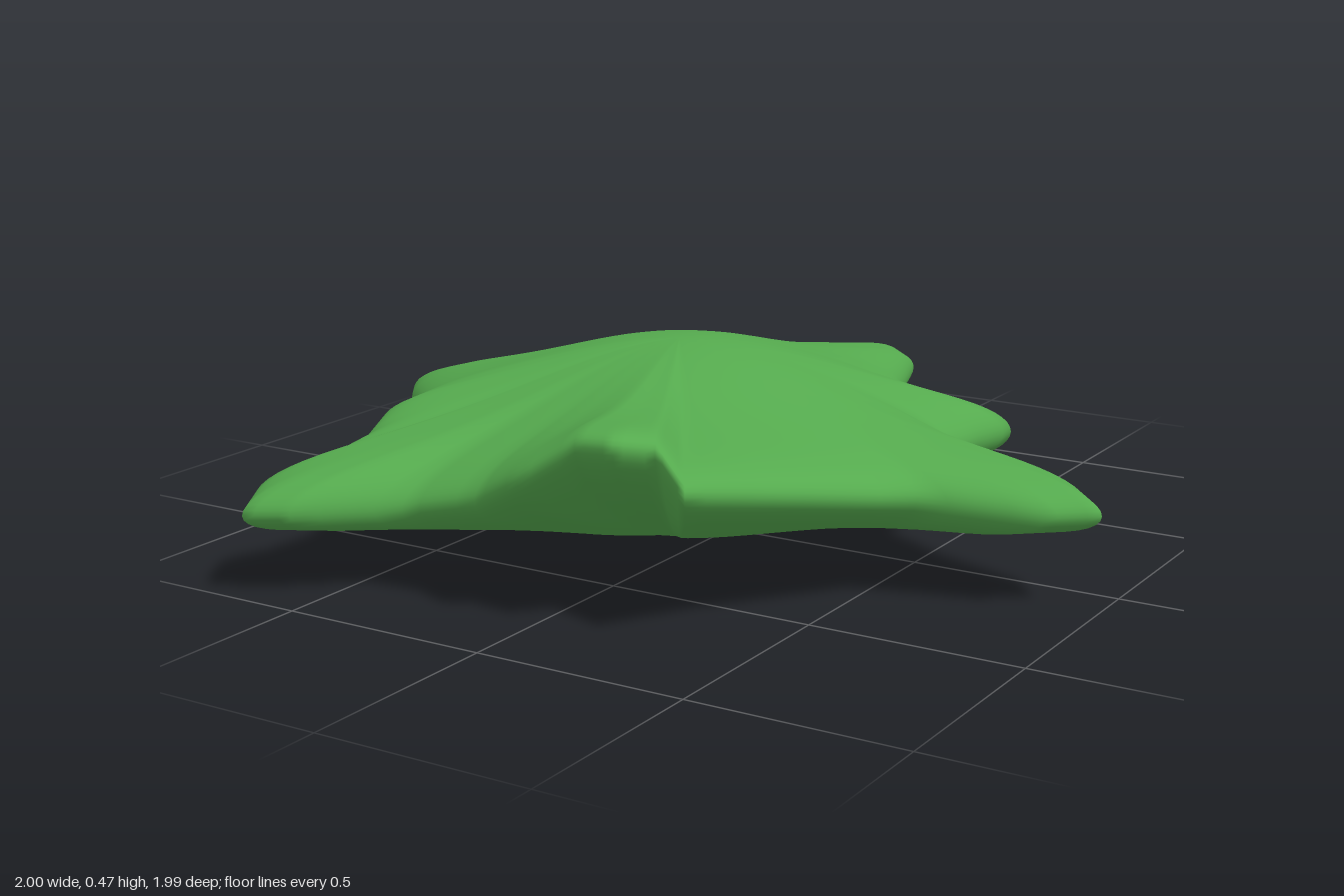
import * as THREE from 'three';
import { mergeVertices } from 'three/addons/utils/BufferGeometryUtils.js';

// Rim of the star as [x, z, height], clockwise from the back arm
const RIM = [
  [-0.05, -1, 0.22], [0.03, -0.92, 0.22], [0.11, -0.69, 0.22], [0.22, -0.49, 0.22],
  [0.4, -0.45, 0.22], [0.54, -0.43, 0.22], [0.51, -0.31, 0.22], [0.495, -0.15, 0.22],
  [0.7, -0.04, 0.22], [0.93, 0.04, 0.22], [1, 0.12, 0.22], [0.9, 0.2, 0.22],
  [0.64, 0.28, 0.24], [0.46, 0.6, 0.3], [0.38, 0.8, 0.34], [0.29, 0.77, 0.41],
  [0.24, 0.85, 0.43], [0.14, 0.84, 0.42], [0, 0.85, 0.33], [-0.15, 0.8, 0.25],
  [-0.35, 0.8, 0.2], [-0.53, 0.96, 0.2], [-0.64, 0.99, 0.19], [-0.7, 0.88, 0.2],
  [-0.66, 0.79, 0.21], [-0.62, 0.62, 0.25], [-0.66, 0.49, 0.28], [-0.66, 0.38, 0.28],
  [-0.74, 0.26, 0.25], [-0.79, 0.19, 0.23], [-0.95, 0.02, 0.21], [-1, -0.05, 0.21],
  [-0.98, -0.13, 0.21], [-0.8, -0.22, 0.22], [-0.63, -0.31, 0.22], [-0.57, -0.44, 0.22],
  [-0.52, -0.57, 0.22], [-0.42, -0.56, 0.22], [-0.31, -0.57, 0.22], [-0.21, -0.77, 0.22],
  [-0.13, -0.94, 0.22],
];
const CX = -0.12, CZ = 0.03, CY = 0.233;

// Half thickness: a central dome fading into slimmer arms, rounded at the rim
function halfThickness(r, t) {
  const dome = 0.38 + 0.62 * Math.exp(-((r / 0.47) ** 2));
  return 0.233 * dome * Math.sqrt(Math.max(0, 1 - t ** 5));
}

function starGeometry(sub = 4, half = 20) {
  // Subdivide the rim
  const rim = [];
  RIM.forEach((p, i) => {
    const q = RIM[(i + 1) % RIM.length];
    for (let s = 0; s < sub; s++) rim.push(p.map((v, k) => v + (q[k] - v) * s / sub));
  });

  // Rings from the top centre, over the rim, to the bottom centre
  const n = rim.length, pos = [], idx = [];
  for (let k = 0; k <= 2 * half; k++) {
    const pole = k === 0 || k === 2 * half;
    const t = pole ? 0 : k === half ? 1 : Math.sin(Math.PI * k / (2 * half));
    const side = k <= half ? 1 : -1;
    for (const [x, z, y] of rim) {
      const r = t * Math.hypot(x - CX, z - CZ);
      const mid = CY + (y - CY) * t * t;
      pos.push(CX + (x - CX) * t, mid + side * halfThickness(r, t), CZ + (z - CZ) * t);
    }
  }
  for (let k = 0; k < 2 * half; k++) {
    for (let j = 0; j < n; j++) {
      const a = k * n + j, a2 = k * n + (j + 1) % n, b = a + n, b2 = a2 + n;
      if (k < 2 * half - 1) idx.push(a, b2, b);
      if (k > 0) idx.push(a, a2, b2);
    }
  }
  let geo = new THREE.BufferGeometry();
  geo.setAttribute('position', new THREE.Float32BufferAttribute(pos, 3));
  geo.setIndex(idx);
  geo = mergeVertices(geo, 1e-5);
  geo.computeVertexNormals();
  return geo;
}

export function createModel() {
  const group = new THREE.Group();
  group.name = 'star';
  const body = new THREE.Mesh(starGeometry(), new THREE.MeshStandardMaterial({ color: 0x55aa4e }));
  body.name = 'starBody';
  group.add(body);
  return group;
}
